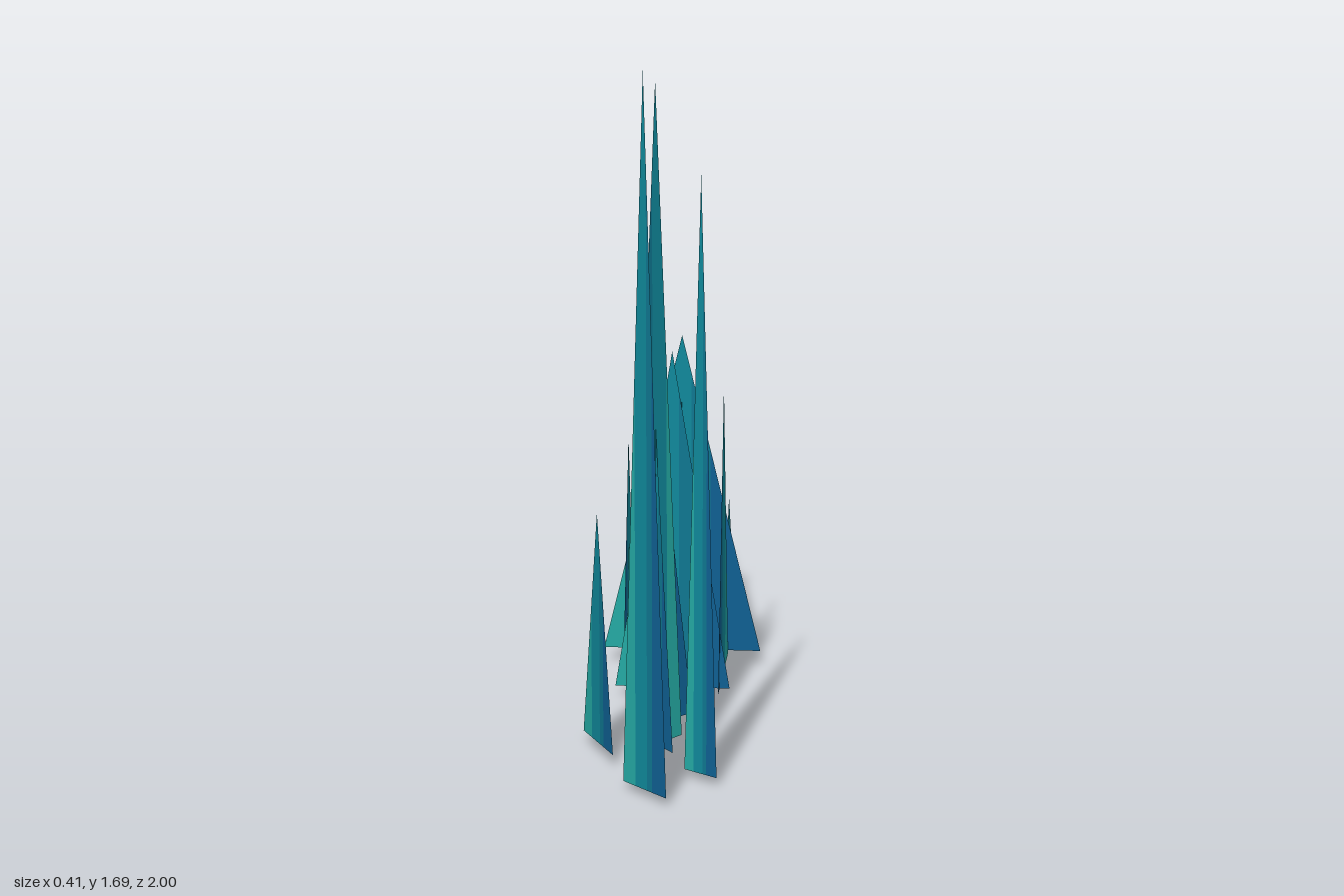
import * as THREE from 'three';

const mat = (name, color) => {
  const m = new THREE.MeshStandardMaterial({ color, side: THREE.DoubleSide });
  m.name = name;
  return m;
};

// Vertical colour bands across each blade, from u = -1 (pale end) to u = 1 (dark end)
const bands = [
  { name: 'greenBand', from: -1, to: -0.42, material: mat('sea green', 0x24aaa4) },
  { name: 'tealBand', from: -0.42, to: 0.12, material: mat('teal', 0x10899b) },
  { name: 'blueBand', from: 0.12, to: 0.36, material: mat('blue teal', 0x0f7791) },
  { name: 'deepBlueBand', from: 0.36, to: 1, material: mat('deep blue', 0x0f6092) },
];

// Flat upright triangle; (dx, dz) is the half base, pointing towards the dark end
function blade(name, x, z, dx, dz, top, base = 0.03) {
  const group = new THREE.Group();
  group.name = name;
  const half = Math.hypot(dx, dz);
  const height = top - base;
  const edge = (u) => height * (1 - Math.abs(u));
  for (const { name: bandName, from, to, material } of bands) {
    const us = from < 0 && to > 0 ? [to, 0, from] : [to, from];
    const points = [[from, 0], [to, 0], ...us.map((u) => [u, edge(u)])]
      .filter(([u, y], i) => i < 2 || y > 0)
      .map(([u, y]) => new THREE.Vector2(u * half, y));
    const mesh = new THREE.Mesh(new THREE.ShapeGeometry(new THREE.Shape(points)), material);
    mesh.name = bandName;
    group.add(mesh);
  }
  group.position.set(x, base, z);
  group.rotation.y = Math.atan2(-dz, dx);
  return group;
}

export function createModel() {
  const model = new THREE.Group();
  model.name = 'bladeRow';
  model.add(
    // tall slender blades at the front
    blade('frontTallBlade', 0, 0.945, 0.055, 0.055, 1.69, 0.02),
    blade('frontSideBlade', 0.12, 0.825, 0.04, 0.028, 1.44, 0.02),
    blade('tallBlade', 0, 0.655, -0.055, 0.074, 1.63),
    blade('tallCrossBlade', 0, 0.655, 0.045, 0.06, 0.81),
    blade('tallSideBlade', -0.14, 0.655, 0.045, 0.087, 0.6),
    blade('frontShortBlade', 0, 0.48, 0.067, -0.065, 0.73),
    // broad blades in the middle
    blade('middleFrontBlade', 0, 0.215, 0.145, 0, 0.9),
    blade('middleLeftBlade', 0.12, 0.095, 0, 0.173, 0.79),
    blade('middleBlade', 0, -0.075, 0.205, 0, 0.88, 0.04),
    blade('middleCrossBlade', 0, -0.08, 0, 0.15, 0.8, 0.07),
    blade('middleRightBlade', -0.14, -0.08, 0, 0.145, 0.61),
    blade('middleBackBlade', 0, -0.295, 0.108, 0, 0.72),
    // low blades at the back
    blade('backFrontBlade', 0, -0.64, 0.11, 0, 0.48),
    blade('backLeftBlade', 0.08, -0.67, 0, 0.17, 0.3),
    blade('backBlade', 0, -0.845, 0, 0.155, 0.4),
    blade('backCrossBlade', 0, -0.84, 0.09, 0, 0.36),
    blade('backRightBlade', -0.08, -0.84, 0, 0.15, 0.22, 0),
    blade('rearBlade', 0, -0.96, 0.07, 0, 0.29),
  );
  return model;
}
